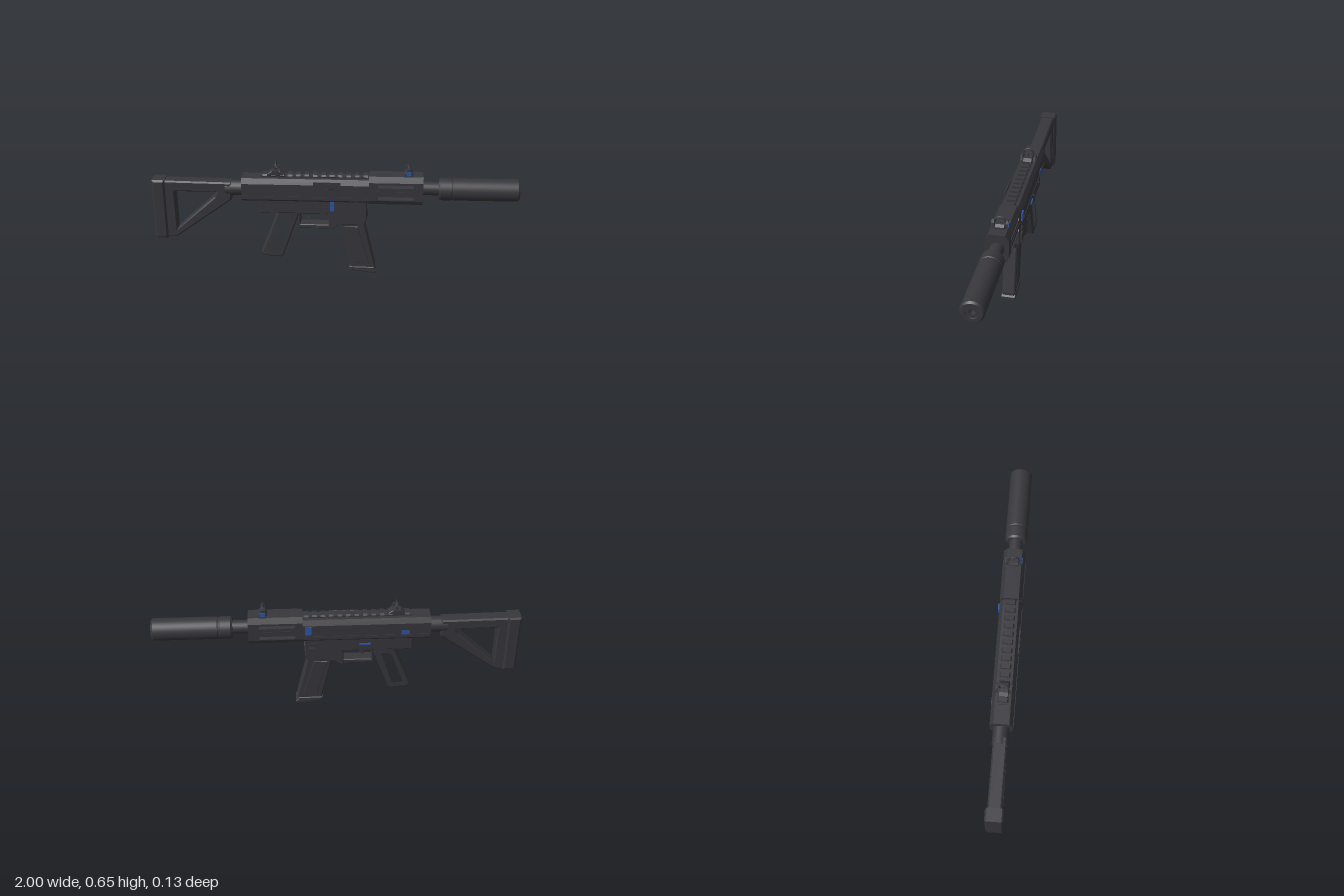
import * as THREE from 'three';

const gunmetal = new THREE.MeshStandardMaterial({ color: 0x37373c });
gunmetal.name = 'dark grey';
const blue = new THREE.MeshStandardMaterial({ color: 0x2b55a8 });
blue.name = 'blue';

const vecs = (pts) => pts.map(([x, y]) => new THREE.Vector2(x, y));

export function createModel() {
  const model = new THREE.Group();
  model.name = 'carbine';
  const body = new THREE.Group();
  body.name = 'body';
  body.position.z = 0.003;
  model.add(body);

  const add = (name, geo, mat = gunmetal, x = 0, y = 0, z = 0) => {
    const mesh = new THREE.Mesh(geo, mat);
    mesh.name = name;
    mesh.position.set(x, y, z);
    body.add(mesh);
    return mesh;
  };
  const box = (name, x0, x1, y0, y1, z0, z1, mat) =>
    add(name, new THREE.BoxGeometry(x1 - x0, y1 - y0, z1 - z0), mat, (x0 + x1) / 2, (y0 + y1) / 2, (z0 + z1) / 2);

  // Side outline extruded across z, with bevelled edges
  const side = (name, pts, half, bevel = 0, holes = [], mat) => {
    const shape = new THREE.Shape(vecs(pts));
    holes.forEach((h) => shape.holes.push(new THREE.Path(vecs(h))));
    const geo = new THREE.ExtrudeGeometry(shape, {
      depth: 2 * (half - bevel), bevelEnabled: bevel > 0, bevelSize: bevel,
      bevelThickness: bevel, bevelOffset: -bevel, bevelSegments: 1,
    });
    geo.translate(0, 0, -(half - bevel));
    return add(name, geo, mat);
  };
  // Symmetric cross-section (half profile of [z, y], bottom to top) extruded along x
  const along = (name, x0, x1, profile) => {
    const mirrored = profile.map(([z, y]) => [-z, y]).reverse();
    const geo = new THREE.ExtrudeGeometry(new THREE.Shape(vecs([...profile, ...mirrored])), { depth: x1 - x0, bevelEnabled: false });
    geo.rotateY(Math.PI / 2).translate(x0, 0, 0);
    return add(name, geo);
  };
  // Turned part along x from [x, radius] points, with sharp steps
  const turned = (name, y, pts, segments = 32) => {
    for (let i = 0; i < pts.length - 1; i++) {
      const geo = new THREE.LatheGeometry(vecs([[pts[i][1], pts[i][0]], [pts[i + 1][1], pts[i + 1][0]]]), segments);
      geo.rotateZ(-Math.PI / 2);
      add(name, geo, gunmetal, 0, y);
    }
  };
  const rect = (x0, x1, y0, y1) => [[x0, y0], [x1, y0], [x1, y1], [x0, y1]];
  const slot = (x0, x1, y0, y1) => {
    const r = (y1 - y0) / 2;
    return [[x0 + r, y0], [x1 - r, y0], [x1, y0 + r], [x1 - r, y1], [x0 + r, y1], [x0, y0 + r]];
  };

  // Stock
  side('buttPad', rect(-1, -0.93, 0.2, 0.547), 0.048, 0.009);
  side('stockFrame', [[-0.94, 0.203], [-0.885, 0.203], [-0.565, 0.437], [-0.565, 0.537], [-0.94, 0.542]], 0.037, 0.008,
    [[[-0.878, 0.25], [-0.66, 0.45], [-0.645, 0.48], [-0.878, 0.48]]]);
  turned('bufferTube', 0.497, [[-0.6, 0], [-0.6, 0.043], [-0.5, 0.043]], 20);

  // Upper receiver
  along('upperReceiver', -0.505, 0.187, [[0.052, 0.443], [0.06, 0.453], [0.06, 0.542], [0.042, 0.57]]);
  [-1, 1].forEach((s) => box('receiverRib', -0.49, 0.18, 0.468, 0.474, s * 0.061 - 0.002, s * 0.061 + 0.002));
  side('ejectionPort', rect(-0.115, 0.035, 0.519, 0.562), 0.004, 0.002).position.z = 0.06;
  box('portCover', -0.1, 0.02, 0.526, 0.55, 0.06, 0.0655);
  box('portHinge', -0.11, 0.03, 0.513, 0.52, 0.058, 0.064);

  // Top rail
  box('railBase', -0.4, 0.185, 0.565, 0.578, -0.022, 0.022);
  for (let i = 0; i < 13; i++) {
    const x = -0.39 + i * 0.0455;
    along('railTooth', x, x + 0.025, [[0.02, 0.574], [0.029, 0.58], [0.022, 0.589]]);
  }

  // Handguard with through slots
  side('handguardSides', rect(0.187, 0.48, 0.458, 0.562), 0.0605, 0,
    [slot(0.227, 0.432, 0.532, 0.55), slot(0.227, 0.432, 0.463, 0.482)]);
  along('handguardTop', 0.187, 0.48, [[0.0605, 0.562], [0.041, 0.592]]);
  along('handguardBottom', 0.187, 0.48, [[0.05, 0.435], [0.0605, 0.458]]);
  [-1, 1].forEach((s) => box('handguardRib', 0.225, 0.435, 0.501, 0.513, s * 0.061 - 0.002, s * 0.061 + 0.002));

  // Barrel and suppressor
  turned('barrel', 0.512, [[0.47, 0.037], [0.58, 0.037]], 24);
  turned('suppressor', 0.51, [[0.565, 0.03], [0.565, 0.054], [0.575, 0.061], [0.632, 0.061], [0.636, 0.058],
    [0.642, 0.058], [0.646, 0.061], [0.99, 0.061], [1, 0.053], [1, 0.034], [0.994, 0.032], [0.994, 0.017], [0.96, 0.016], [0.96, 0]]);

  // Lower receiver, magazine well and trigger guard
  side('lowerReceiver', rect(-0.41, 0.175, 0.37, 0.462), 0.052, 0.004);
  side('magazineWell', [[-0.032, 0.38], [-0.032, 0.275], [0.0, 0.285], [0.02, 0.305], [0.165, 0.305], [0.178, 0.34], [0.178, 0.46], [-0.032, 0.46]], 0.052, 0.004);
  side('triggerGuard', [[-0.198, 0.38], [-0.198, 0.272], [-0.02, 0.272], [0.01, 0.3], [0.01, 0.38]], 0.034, 0.004,
    [[[-0.188, 0.372], [-0.188, 0.296], [-0.032, 0.296], [-0.032, 0.372]]]);
  side('trigger', [[-0.155, 0.375], [-0.12, 0.375], [-0.12, 0.34], [-0.128, 0.324], [-0.147, 0.314], [-0.15, 0.322], [-0.138, 0.335], [-0.138, 0.352], [-0.155, 0.362]], 0.012);
  side('frontCatch', [[0.165, 0.34], [0.183, 0.35], [0.183, 0.395], [0.165, 0.405]], 0.02, 0.003);

  // Skeleton pistol grip
  side('pistolGrip', [[-0.31, 0.375], [-0.2, 0.375], [-0.2, 0.345], [-0.287, 0.1], [-0.302, 0.092], [-0.4, 0.1], [-0.408, 0.122]], 0.039, 0.007,
    [[[-0.305, 0.335], [-0.24, 0.345], [-0.234, 0.333], [-0.3, 0.126], [-0.312, 0.122], [-0.37, 0.13], [-0.374, 0.142]]]);

  // Magazine
  side('magazine', [[0.025, 0.33], [0.16, 0.33], [0.228, 0.045], [0.228, 0.025], [0.09, 0.035]], 0.036, 0.006);
  side('magazineRib', [[0.055, 0.29], [0.13, 0.29], [0.195, 0.06], [0.115, 0.07]], 0.039, 0.003);
  side('magazineBase', [[0.083, 0.042], [0.088, 0.021], [0.235, 0.001], [0.236, 0.018], [0.224, 0.03], [0.224, 0.04]], 0.041, 0.004);

  // Controls and pins
  box('magazineRelease', -0.023, -0.002, 0.388, 0.442, 0.05, 0.057, blue);
  box('chargingHandle', 0.14, 0.175, 0.49, 0.537, -0.068, -0.058, blue);
  box('boltCatch', -0.18, -0.12, 0.407, 0.418, -0.058, -0.05, blue);
  box('safetyLever', -0.39, -0.345, 0.476, 0.497, -0.064, -0.058, blue);
  box('sideLatch', 0.125, 0.16, 0.342, 0.398, -0.061, -0.05);
  box('sideButton', 0.12, 0.15, 0.408, 0.425, -0.06, -0.05);
  [[-0.35, 0.42], [-0.22, 0.41], [0.12, 0.44]].forEach(([x, y]) => {
    add('pin', new THREE.CylinderGeometry(0.008, 0.008, 0.11, 12).rotateX(Math.PI / 2), gunmetal, x, y, 0);
  });

  // Flip-up sights
  const sight = (name, x, y, baseHalf) => {
    side(name + 'Base', [[x - baseHalf, y], [x + baseHalf, y], [x + baseHalf, y + 0.012], [x + baseHalf * 0.55, y + 0.026], [x - baseHalf * 0.55, y + 0.026], [x - baseHalf, y + 0.012]], 0.026, 0.003);
    add(name + 'Ring', new THREE.TorusGeometry(0.0275, 0.0045, 8, 24).rotateY(Math.PI / 2), gunmetal, x, 0.623, 0);
    add(name + 'Post', new THREE.CylinderGeometry(0.001, 0.005, 0.03, 8), gunmetal, x, 0.61, 0);
  };
  sight('rearSight', -0.32, 0.578, 0.043);
  sight('frontSight', 0.4, 0.59, 0.024);
  [-1, 1].forEach((s) => {
    side('rearSightEar', [[-0.345, 0.588], [-0.295, 0.588], [-0.305, 0.615], [-0.335, 0.615]], 0.006).position.z = s * 0.037;
    side('frontSightEar', [[0.382, 0.59], [0.418, 0.59], [0.414, 0.62], [0.406, 0.636], [0.394, 0.636], [0.386, 0.62]], 0.006).position.z = s * 0.036;
    box('frontSightPlate', 0.386, 0.414, 0.6, 0.624, s * 0.0435 - 0.003, s * 0.0435 + 0.003, blue);
  });

  return model;
}
